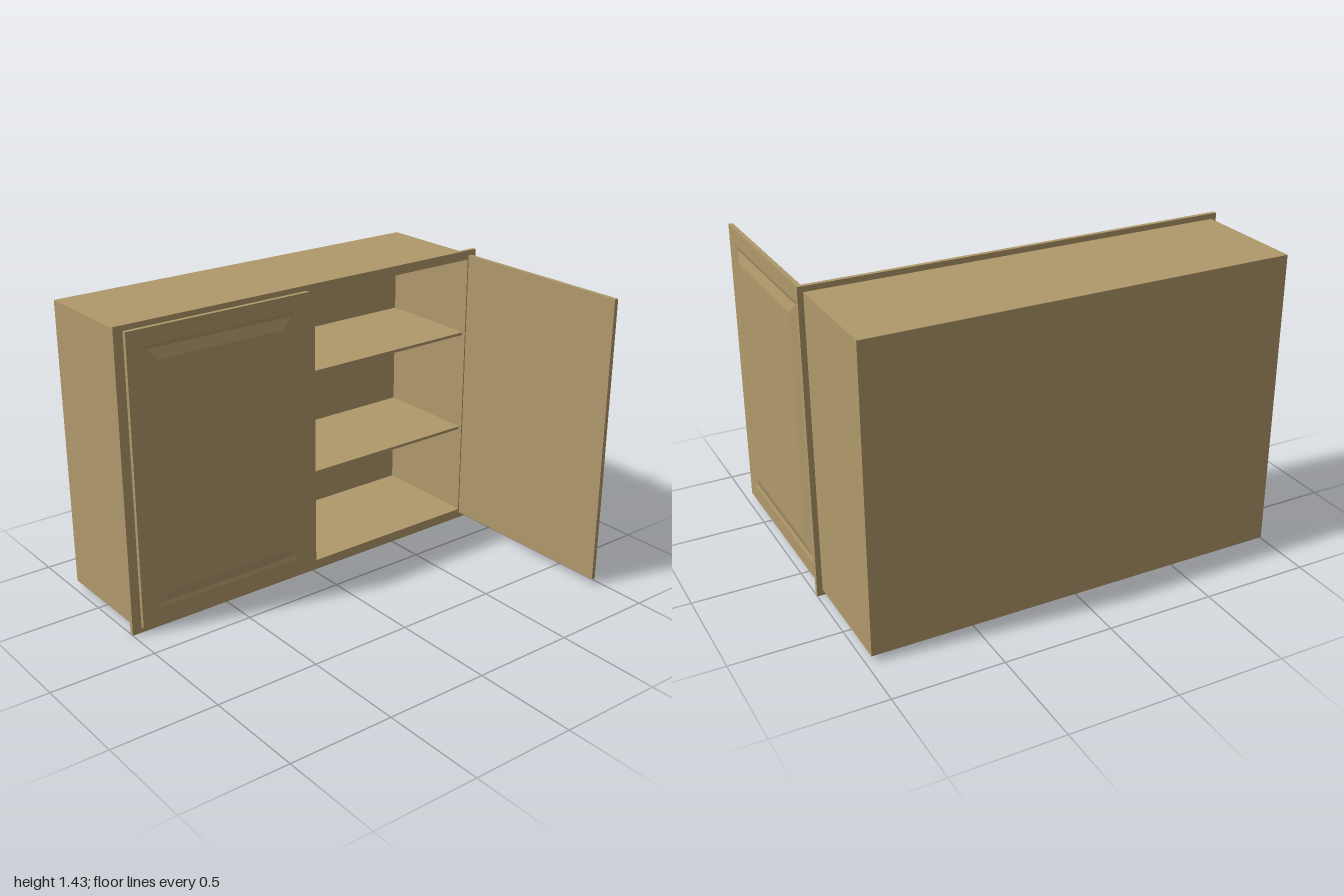
import * as THREE from 'three';

const wood = new THREE.MeshStandardMaterial({ color: 0xb0996b });
wood.name = 'oak wood';

// Box given by its min and max corners
function slab(name, x0, x1, y0, y1, z0, z1) {
  const mesh = new THREE.Mesh(new THREE.BoxGeometry(x1 - x0, y1 - y0, z1 - z0), wood);
  mesh.position.set((x0 + x1) / 2, (y0 + y1) / 2, (z0 + z1) / 2);
  mesh.name = name;
  return mesh;
}

// Raised-panel door: nested rectangles, each [inset from the edge, depth]
function doorGeometry(w, h) {
  const steps = [[0, 0], [0, 0.02], [0.075, 0.02], [0.095, 0.015], [0.145, 0.028]];
  const rings = steps.map(([inset, z]) => {
    const x = w / 2 - inset, y = h / 2 - inset;
    return [[-x, -y, z], [x, -y, z], [x, y, z], [-x, y, z]];
  });
  const pos = [];
  const quad = (a, b, c, d) => pos.push(...a, ...b, ...c, ...a, ...c, ...d);
  for (let r = 0; r < rings.length - 1; r++) {
    const outer = rings[r], inner = rings[r + 1];
    for (let i = 0; i < 4; i++) {
      const j = (i + 1) % 4;
      quad(outer[i], outer[j], inner[j], inner[i]);
    }
  }
  quad(...rings[rings.length - 1]);
  quad(...[...rings[0]].reverse());
  const geo = new THREE.BufferGeometry();
  geo.setAttribute('position', new THREE.Float32BufferAttribute(pos, 3));
  geo.computeVertexNormals();
  return geo;
}

function rectangle(Type, x0, x1, y0, y1) {
  const path = new Type();
  path.moveTo(x0, y0);
  path.lineTo(x1, y0);
  path.lineTo(x1, y1);
  path.lineTo(x0, y1);
  path.closePath();
  return path;
}

export function createModel() {
  const group = new THREE.Group();
  group.name = 'wallCabinet';

  // Carcass panels
  const back = -0.747, front = -0.205, t = 0.02;
  group.add(
    slab('backPanel', -0.975, 0.975, 0.028, 1.41, back, back + t),
    slab('bottomPanel', -0.975, 0.975, 0.028, 0.048, back + t, front),
    slab('topPanel', -0.975, 0.975, 1.39, 1.41, back + t, front),
    slab('leftSide', 0.955, 0.975, 0.048, 1.39, back + t, front),
    slab('rightSide', -0.975, -0.955, 0.048, 1.39, back + t, front),
  );

  // Shelves
  for (const y of [0.495, 1.0]) {
    group.add(slab('shelf', -0.955, 0.955, y, y + 0.014, back + t, front));
  }

  // Face frame with two openings
  const outline = rectangle(THREE.Shape, -1, 1, 0, 1.435);
  outline.holes.push(
    rectangle(THREE.Path, -0.945, -0.03, 0.048, 1.39),
    rectangle(THREE.Path, 0.02, 0.95, 0.048, 1.39),
  );
  const frame = new THREE.Mesh(
    new THREE.ExtrudeGeometry(outline, { depth: 0.02, bevelEnabled: false }), wood);
  frame.position.z = front;
  frame.name = 'faceFrame';
  group.add(frame);

  // One closed door and one swung open by a quarter turn
  const door = doorGeometry(0.93, 1.38);
  const closedDoor = new THREE.Mesh(door, wood);
  closedDoor.position.set(-0.49, 0.72, -0.185);
  closedDoor.name = 'closedDoor';
  const openDoor = new THREE.Mesh(door, wood);
  openDoor.position.set(0.955, 0.72, 0.281);
  openDoor.rotation.y = Math.PI / 2;
  openDoor.name = 'openDoor';
  group.add(closedDoor, openDoor);

  return group;
}
